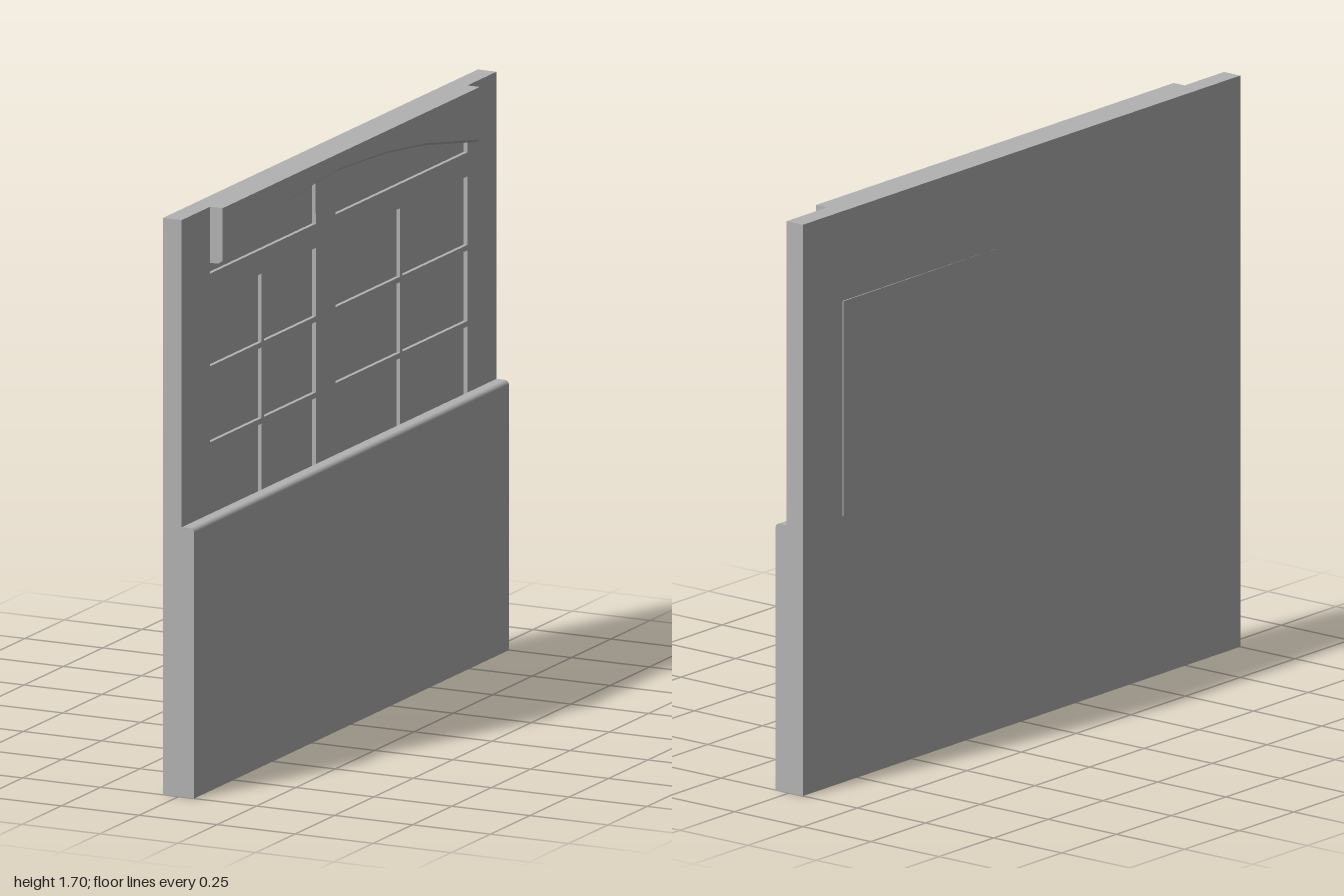
import * as THREE from 'three';

export function createModel() {
  const group = new THREE.Group();
  group.name = 'panelledWall';
  const grey = new THREE.MeshStandardMaterial({ color: 0xb2b2b2 });
  grey.name = 'plain grey';

  const add = (name, geometry) => {
    const mesh = new THREE.Mesh(geometry, grey);
    mesh.name = name;
    group.add(mesh);
    return mesh;
  };

  // Outlines are given as [z, y] and extruded towards +x
  const toPoints = (list) => list.map(([z, y]) => new THREE.Vector2(-z, y));
  const extrudeX = (shape, x, depth, steps = 1) =>
    new THREE.ExtrudeGeometry(shape, { depth, steps, bevelEnabled: false })
      .rotateY(Math.PI / 2).translate(x, 0, 0);

  // Underside of the arched header, left to right across the face
  const arch = [
    [0.82, 1.535], [0.56, 1.6], [0.39, 1.625], [0.15, 1.641], [0.08, 1.645],
    [0.02, 1.642], [-0.23, 1.628], [-0.47, 1.6], [-0.815, 1.535],
  ];
  const face = 0.01;
  const recess = 0.012;

  // Solid core, whose front forms the window panes
  const core = face - recess + 0.05;
  add('core', new THREE.BoxGeometry(core, 1.7, 2)).position.set(-0.05 + core / 2, 0.85, 0);

  // Face layer with openings for the panes and the arched lights
  const layer = new THREE.Shape(toPoints([[1, 0], [-1, 0], [-1, 1.7], [1, 1.7]]));
  const bar = 0.008;
  const rows = [[0.77, 0.998 - bar], [0.998 + bar, 1.222 - bar], [1.222 + bar, 1.432]];
  for (const [z0, zm, z1] of [[0.82, 0.485, 0.148], [0.024, -0.395, -0.815]]) {
    for (const [a, b] of [[z0, zm + bar], [zm - bar, z1]]) {
      for (const [y0, y1] of rows) {
        layer.holes.push(new THREE.Path(toPoints([[a, y0], [a, y1], [b, y1], [b, y0]])));
      }
    }
    const top = arch.filter(([z]) => z <= z0 + 0.005 && z >= z1 - 0.005);
    layer.holes.push(new THREE.Path(toPoints([[z0, 1.503], ...top, [z1, 1.503]])));
  }
  add('windowFace', extrudeX(layer, face - recess, recess));

  // Arched header with its lower front edge eased back
  const header = new THREE.Shape(toPoints([...arch, [-0.815, 1.7], [0.82, 1.7]]));
  const headerGeometry = extrudeX(header, face, 0.04, 4);
  const p = headerGeometry.attributes.position;
  for (let i = 0; i < p.count; i++) {
    const x = p.getX(i);
    if (p.getY(i) < 1.69) {
      p.setY(i, p.getY(i) + (x > 0.045 ? 0.01 : x > 0.035 ? 0.002 : 0));
    }
  }
  headerGeometry.computeVertexNormals();
  add('archedHeader', headerGeometry);

  // Lower panel, rounded along the top front edge
  const profile = new THREE.Shape();
  const r = 0.014;
  profile.moveTo(face, 0);
  profile.lineTo(0.05, 0);
  profile.lineTo(0.05, 0.795 - r);
  profile.absarc(0.05 - r, 0.795 - r, r, 0, Math.PI / 2, false);
  profile.lineTo(face, 0.795);
  profile.closePath();
  add('lowerPanel', new THREE.ExtrudeGeometry(profile, { depth: 2, bevelEnabled: false, curveSegments: 5 })
    .translate(0, 0, -1));

  // Slightly skewed rear of the glazing, standing just proud of the back
  const wedge = new THREE.Shape([
    new THREE.Vector2(-0.049, 0.82), new THREE.Vector2(-0.054, 0.82),
    new THREE.Vector2(-0.05, 0.09), new THREE.Vector2(-0.049, 0.09),
  ]);
  add('glazingBack', new THREE.ExtrudeGeometry(wedge, { depth: 0.64, bevelEnabled: false })
    .rotateX(-Math.PI / 2).translate(0, 0.793, 0));

  return group;
}
